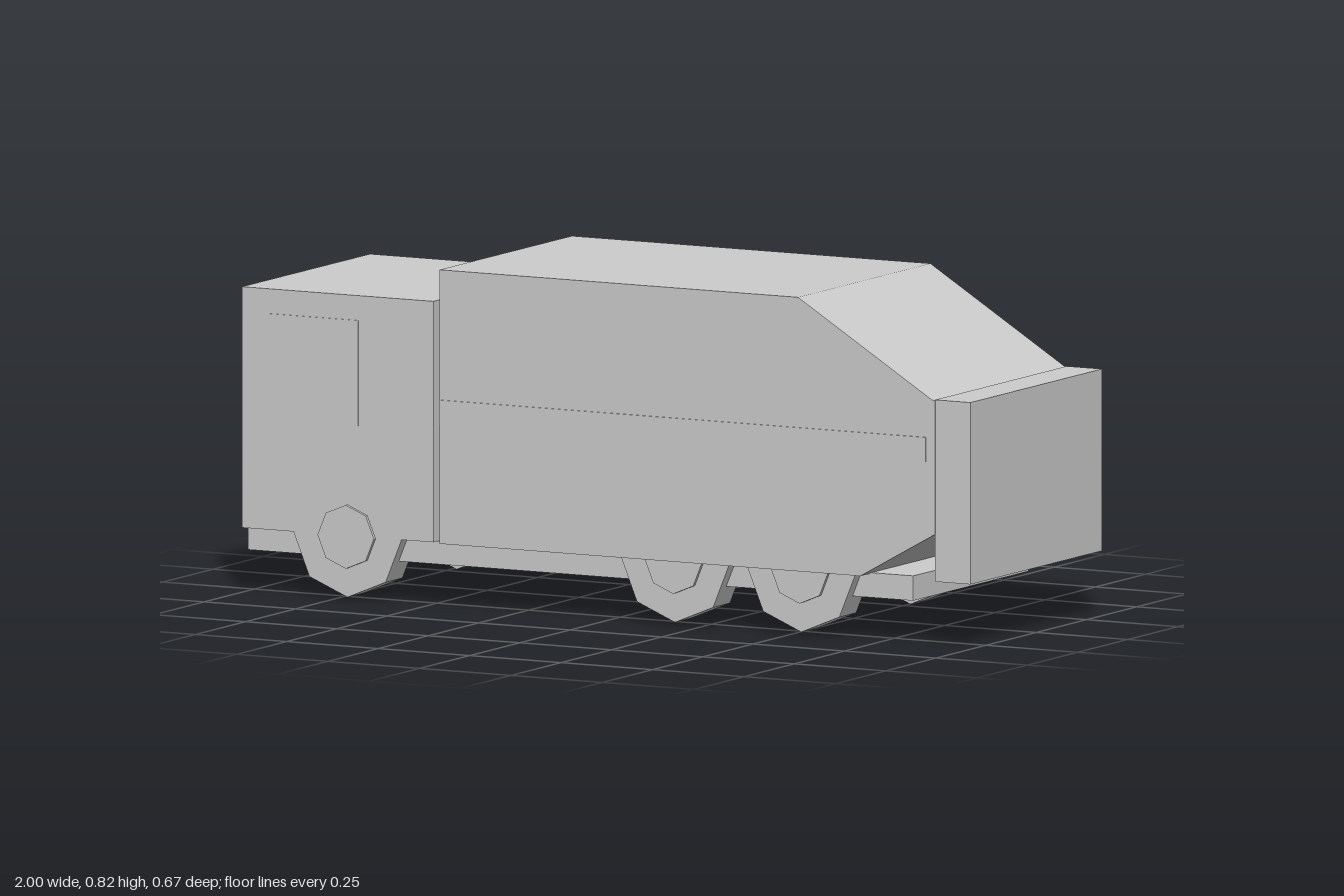
import * as THREE from 'three';

export function createModel() {
  const group = new THREE.Group();
  const grey = new THREE.MeshStandardMaterial({ color: 0xcccccc, flatShading: true });
  grey.name = 'plain grey';

  const add = (name, geometry) => {
    const mesh = new THREE.Mesh(geometry, grey);
    mesh.name = name;
    group.add(mesh);
    return mesh;
  };

  // Box given by its lower and upper limits on each axis
  const box = (name, x0, x1, y0, y1, z0, z1) =>
    add(name, new THREE.BoxGeometry(x1 - x0, y1 - y0, z1 - z0))
      .position.set((x0 + x1) / 2, (y0 + y1) / 2, (z0 + z1) / 2);

  // Frame and driver's cab, with the cab facing -x
  box('chassis', -0.998, 0.82, 0.1, 0.16, -0.29, 0.285);
  box('cab', -0.998, -0.475, 0.157, 0.74, -0.323, 0.315);
  box('windscreen', -1, -0.996, 0.42, 0.69, -0.29, 0.28);

  // Container with a sloping rear roof and a cut-away rear underside
  const profile = new THREE.Shape([
    [-0.45, 0.157], [0.7, 0.157], [0.905, 0.272],
    [0.905, 0.595], [0.895, 0.597], [0.53, 0.82], [-0.45, 0.82],
  ].map(([x, y]) => new THREE.Vector2(x, y)));
  const body = new THREE.ExtrudeGeometry(profile, { depth: 0.66, bevelEnabled: false });
  body.translate(0, 0, -0.33);
  add('container', body);
  box('tailgate', 0.903, 1, 0.157, 0.597, -0.328, 0.328);

  // Thin side windows and side stripes
  for (const side of [1, -1]) {
    const label = side > 0 ? 'left' : 'right';
    const cabZ = side > 0 ? 0.315 : -0.323;
    box(label + 'CabWindow', -0.93, -0.68, 0.425, 0.68, cabZ - 0.002, cabZ + 0.002);
    box(label + 'Stripe', -0.45, 0.88, 0.445, 0.505, side * 0.33 - 0.003, side * 0.33 + 0.003);
  }

  // Eight-sided wheels with raised hubs, one corner pointing down
  const disc = (radius, width) =>
    new THREE.CylinderGeometry(radius, radius, width, 8).rotateX(Math.PI / 2);
  for (const x of [-0.71, 0.185, 0.53]) {
    for (const side of [1, -1]) {
      const radius = x === 0.185 && side < 0 ? 0.155 : 0.147;
      add('wheel', disc(radius, 0.084)).position.set(x, 0.155, side * 0.272);
      add('hub', disc(0.077, 0.1)).position.set(x, 0.155, side * 0.273);
    }
  }
  return group;
}
